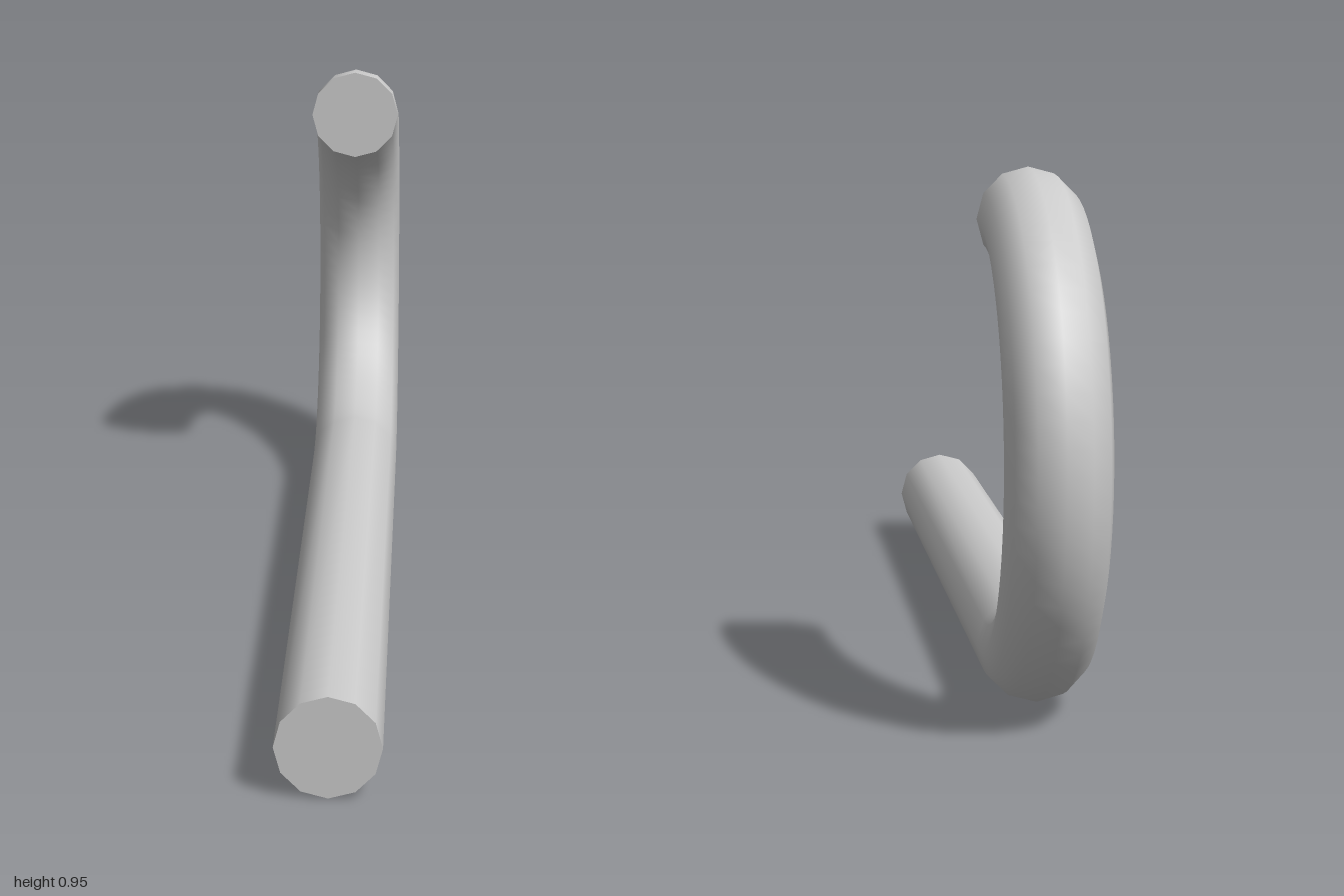
import * as THREE from 'three';

const SIDES = 12;
const ROD = 0.091;       // rod radius
const BEND = 0.382;      // bend radius at the rod's centre line
const BEND_Z = -0.527;   // where the straight shaft meets the bend
const FRONT_Z = 1;

export function createModel() {
  const group = new THREE.Group();
  const material = new THREE.MeshStandardMaterial({ color: 0xcccccc });
  const add = (name, geometry, y, z) => {
    const mesh = new THREE.Mesh(geometry, material);
    mesh.name = name;
    mesh.position.set(0, y, z);
    group.add(mesh);
  };

  // Straight shaft, open where the end cap and the bend close it
  const length = FRONT_Z - BEND_Z;
  const shaft = new THREE.CylinderGeometry(ROD, ROD, length, SIDES, 1, true).rotateX(Math.PI / 2);
  add('shaft', shaft, ROD, BEND_Z + length / 2);

  // Half-circle hook curving up and back over the shaft
  const hook = new THREE.TorusGeometry(BEND, ROD, SIDES, 32, Math.PI)
    .rotateZ(-Math.PI / 2)
    .rotateY(Math.PI / 2);
  add('hook', hook, ROD + BEND, BEND_Z);

  // Flat ends, both facing the front
  add('shaftEnd', new THREE.CircleGeometry(ROD, SIDES), ROD, FRONT_Z);
  add('hookEnd', new THREE.CircleGeometry(ROD, SIDES), ROD + 2 * BEND, BEND_Z);

  return group;
}
